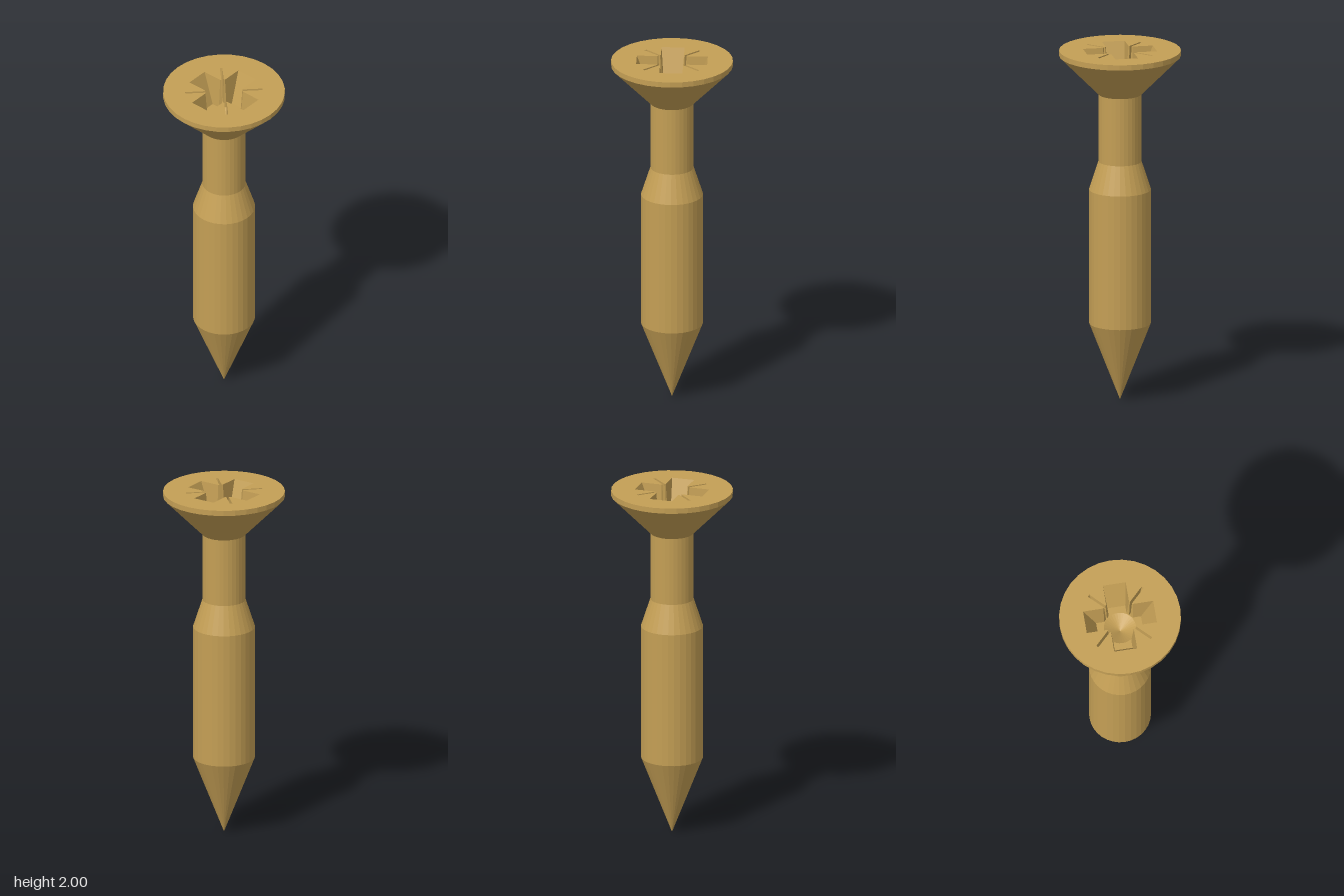
import * as THREE from 'three';

const SIDES = 32;
const TOP = 2, FLOOR = 1.82, PIT = 1.77, PIT_RADIUS = 0.09;

const brass = new THREE.MeshStandardMaterial({ color: 0xc49f55, flatShading: true });

function mesh(name, geometry) {
  const m = new THREE.Mesh(geometry, brass);
  m.name = name;
  return m;
}

function lathe(name, profile) {
  const points = profile.map(([r, y]) => new THREE.Vector2(r, y));
  return mesh(name, new THREE.LatheGeometry(points, SIDES));
}

// Cross with chamfered inner corners and a thin diagonal slot in each corner.
// reach: arm length, w: half arm width, c: chamfer start, tip: slot end, h: half slot width
function recessOutline({ reach, w, c, tip, h }) {
  const s = Math.SQRT1_2;
  const mid = (c + w) * s;
  const diagonal = (d, n) => [(d - n) * s, (d + n) * s];
  const quarter = [
    [reach, w], [c, w],
    diagonal(mid, -h), diagonal(tip, -h), diagonal(tip, h), diagonal(mid, h),
    [w, c], [w, reach],
  ];
  const outline = [];
  for (let q = 0; q < 4; q++) {
    for (const [x, y] of quarter) {
      outline.push(new THREE.Vector2(x, y).rotateAround(new THREE.Vector2(), q * Math.PI / 2));
    }
  }
  return outline;
}

function circle(radius) {
  return Array.from({ length: SIDES }, (_, i) => {
    const a = i / SIDES * Math.PI * 2;
    return new THREE.Vector2(radius * Math.cos(a), radius * Math.sin(a));
  });
}

// Horizontal face with a hole, facing up
function plate(name, outer, hole, y) {
  const shape = new THREE.Shape(outer);
  shape.holes.push(new THREE.Path(hole));
  return mesh(name, new THREE.ShapeGeometry(shape).rotateX(-Math.PI / 2).translate(0, y, 0));
}

// Inward-facing walls joining two outlines at different heights
function walls(name, upper, lower, yUpper, yLower) {
  const positions = [];
  for (let i = 0; i < upper.length; i++) {
    const j = (i + 1) % upper.length;
    const ta = [upper[i].x, upper[i].y, yUpper], tb = [upper[j].x, upper[j].y, yUpper];
    const ba = [lower[i].x, lower[i].y, yLower], bb = [lower[j].x, lower[j].y, yLower];
    positions.push(...ta, ...tb, ...ba, ...ba, ...tb, ...bb);
  }
  const g = new THREE.BufferGeometry();
  g.setAttribute('position', new THREE.Float32BufferAttribute(positions, 3));
  g.rotateX(-Math.PI / 2);
  g.computeVertexNormals();
  return mesh(name, g);
}

export function createModel() {
  const screw = new THREE.Group();
  screw.name = 'screw';

  // Pointed shank, narrowing to the neck below the head
  screw.add(lathe('point', [[0, 0], [0.172, 0.44]]));
  screw.add(lathe('shank', [[0.172, 0.44], [0.172, 1.205]]));
  screw.add(lathe('shoulder', [[0.172, 1.205], [0.12, 1.365]]));
  screw.add(lathe('neck', [[0.12, 1.365], [0.12, 1.75]]));

  // Countersunk head with its rim
  screw.add(lathe('countersink', [[0.12, 1.75], [0.338, 1.97]]));
  screw.add(lathe('headRim', [[0.338, 1.97], [0.338, TOP]]));

  // Tapered driver recess ending in a shallow conical pit
  const upper = recessOutline({ reach: 0.197, w: 0.064, c: 0.083, tip: 0.215, h: 0.007 });
  const lower = recessOutline({ reach: 0.126, w: 0.05, c: 0.08, tip: 0.176, h: 0.004 });
  screw.add(plate('headTop', circle(0.338), upper, TOP));
  screw.add(walls('recessWalls', upper, lower, TOP, FLOOR));
  screw.add(plate('recessFloor', lower, circle(PIT_RADIUS), FLOOR));
  screw.add(lathe('recessPit', [[PIT_RADIUS, FLOOR], [0, PIT]]));

  return screw;
}
